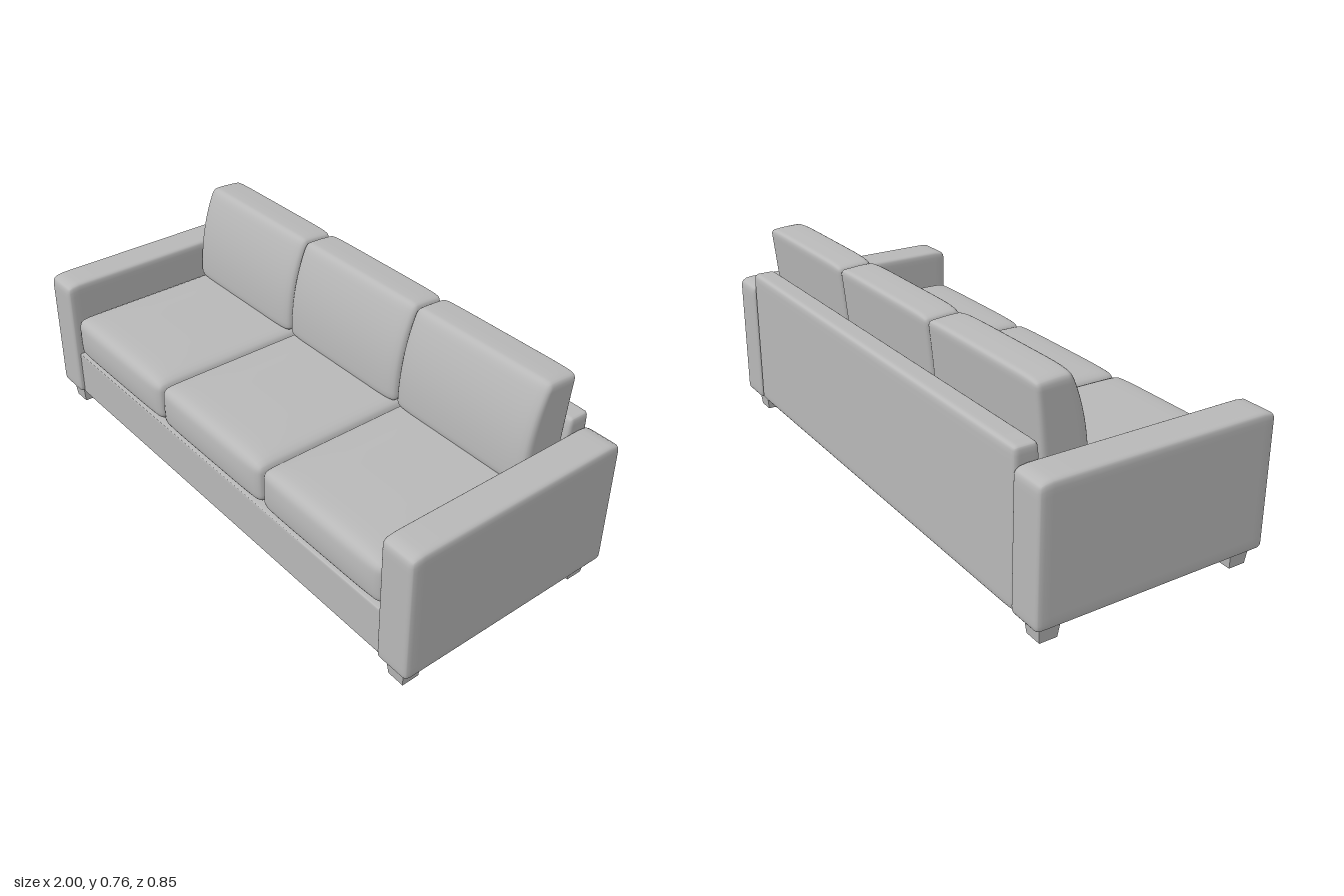
import * as THREE from 'three';
import { mergeVertices } from 'three/addons/utils/BufferGeometryUtils.js';

// Rounded box with vertices gathered near its edges; reshape(p, u) may then move
// each point p, where u is its position from -1 to 1 along each axis.
function softBox(w, h, d, r, reshape, n = 20) {
  const geo = new THREE.BoxGeometry(2, 2, 2, n, n, n);
  geo.deleteAttribute('uv');
  geo.deleteAttribute('normal');
  const soft = mergeVertices(geo);
  const pos = soft.attributes.position;
  const half = new THREE.Vector3(w / 2, h / 2, d / 2);
  const inner = half.clone().subScalar(r);
  const innerMin = inner.clone().negate();
  const p = new THREE.Vector3();
  const core = new THREE.Vector3();
  const u = new THREE.Vector3();
  const ease = (t) => Math.sin(t * Math.PI / 2);
  for (let i = 0; i < pos.count; i++) {
    p.fromBufferAttribute(pos, i);
    p.set(ease(p.x), ease(p.y), ease(p.z)).multiply(half);
    core.copy(p).clamp(innerMin, inner);
    p.sub(core).setLength(r).add(core);
    u.copy(p).divide(half);
    if (reshape) reshape(p, u);
    pos.setXYZ(i, p.x, p.y, p.z);
  }
  soft.computeVertexNormals();
  return soft;
}

export function createModel() {
  const group = new THREE.Group();
  const upholstery = new THREE.MeshStandardMaterial({ color: 0xb8b8b8 });
  upholstery.name = 'grey upholstery';

  const add = (name, geo, x, y, z) => {
    const mesh = new THREE.Mesh(geo, upholstery);
    mesh.name = name;
    mesh.position.set(x, y, z);
    group.add(mesh);
    return mesh;
  };

  // Base under the cushions
  add('base', softBox(1.74, 0.175, 0.82, 0.006), 0, 0.1525, 0);

  // Backrest frame, its front leaning back towards the top
  const backGeo = softBox(1.74, 0.515, 0.095, 0.018, (p, u) => {
    if (u.z > 0) p.z -= 0.012 * Math.max(0, u.y) ** 4 * u.z;
  });
  add('backFrame', backGeo, 0, 0.3225, -0.3725);

  // Arms: upper corners rounder than the lower ones
  const armGeo = softBox(0.134, 0.468, 0.85, 0.02, (p, u) => {
    const end = Math.max(0, (Math.abs(p.z) - 0.36) / 0.065);
    if (u.y > 0) p.y -= 0.012 * end ** 3 * u.y;
  });

  // Tapered feet
  const footGeo = new THREE.CylinderGeometry(0.039 * Math.SQRT2, 0.031 * Math.SQRT2, 0.07, 4);
  footGeo.rotateY(Math.PI / 4);
  const foot = footGeo.toNonIndexed();
  foot.computeVertexNormals();

  for (const side of [-1, 1]) {
    const label = side > 0 ? 'left' : 'right';
    add(label + 'Arm', armGeo, side * 0.933, 0.298, 0);
    add(label + 'FrontFoot', foot, side * 0.928, 0.035, 0.364);
    add(label + 'RearFoot', foot, side * 0.928, 0.035, -0.354);
  }

  // Seat cushion: crowned top, slightly bulging front and underside
  const seatGeo = softBox(0.574, 0.15, 0.73, 0.03, (p, u) => {
    const acrossX = 1 - u.x ** 6;
    const acrossZ = 1 - u.z ** 8;
    p.y += (u.y > 0 ? 0.015 : 0.01) * u.y * acrossX * (0.4 + 0.6 * acrossZ);
    if (u.z > 0) p.z += 0.01 * u.z * acrossX * (1 - u.y ** 2);
  });

  // Back cushion: thick at the foot, curving back to a rounded top
  const height = 0.355;
  const backCushionGeo = softBox(0.572, height, 0.2, 0.024, (p, u) => {
    const v = (u.y + 1) / 2;
    const edge = 1 - u.x ** 8;
    const front = -0.152 - 0.075 * v ** 2.3 + 0.012 * edge;
    const rear = -0.31 - 0.036 * v;
    const t = (u.z + 1) / 2;
    p.z = rear + (front - rear) * t;
    if (u.y > 0) p.y += u.y ** 4 * (0.006 * edge - 0.012 * (1 - t) - 0.006 * t ** 4);
  });

  ['right', 'middle', 'left'].forEach((label, i) => {
    const x = (i - 1) * 0.576;
    add(label + 'SeatCushion', seatGeo, x, 0.32, 0.042);
    add(label + 'BackCushion', backCushionGeo, x, 0.754 - height / 2, 0);
  });

  return group;
}
